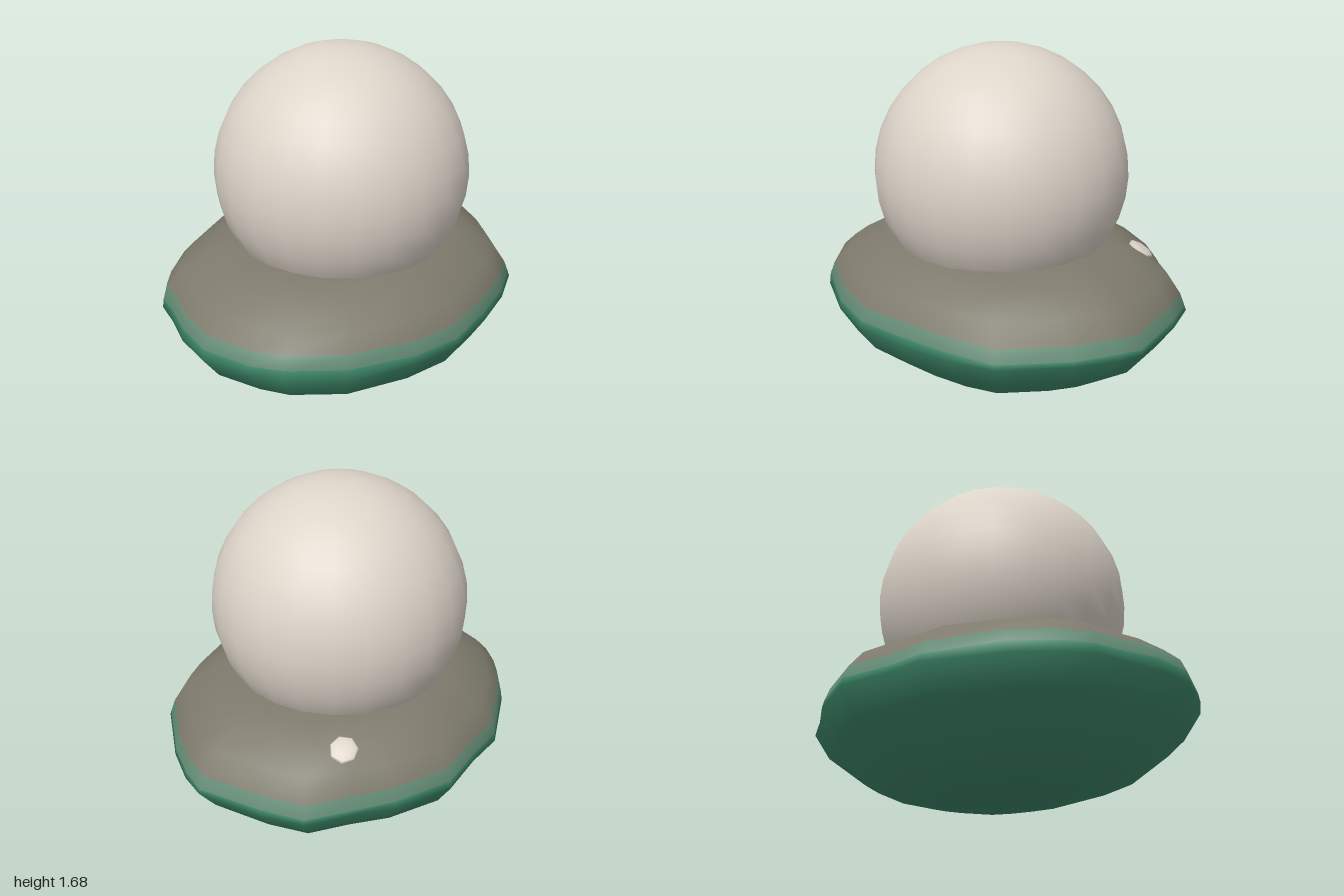
import * as THREE from 'three';

const paint = (name, color) => {
  const m = new THREE.MeshStandardMaterial({ color });
  m.name = name;
  return m;
};

// Uneven outline of the base at its widest level, as [x, z]
const OUTLINE = [
  [1.0, 0.15], [0.95, 0.28], [0.84, 0.45], [0.6, 0.71], [0.38, 0.79], [0.12, 0.835],
  [-0.15, 0.85], [-0.4, 0.78], [-0.7, 0.62], [-0.89, 0.4], [-0.95, 0.25], [-1.0, 0],
  [-0.95, -0.2], [-0.87, -0.36], [-0.81, -0.51], [-0.7, -0.61], [-0.5, -0.73], [-0.15, -0.85],
  [0.05, -0.83], [0.31, -0.83], [0.57, -0.68], [0.73, -0.53], [0.9, -0.39], [0.96, -0.18],
];

// Levels of the base from the underside up, as [scale of outline, height]
const LEVELS = [
  [0, 0.01], [0.25, 0.005], [0.45, 0.035], [0.7, 0.11], [0.91, 0.26], [1, 0.39],
  [0.992, 0.43], [0.965, 0.495], [0.89, 0.58], [0.76, 0.65], [0.64, 0.7], [0.4, 0.72], [0, 0.72],
];
const BAND = 6; // level where the pale band starts

function baseGeometry() {
  const n = OUTLINE.length, pos = [], index = [];
  LEVELS.forEach(([s, y], j) => {
    OUTLINE.forEach(([x, z], i) => {
      // the colour edges wander a little around the rim
      const wave = j === BAND || j === BAND + 1 ? -0.018 * x + 0.007 * Math.sin(i * 1.7) : 0;
      pos.push(x * s, y + wave, z * s);
    });
  });
  const g = new THREE.BufferGeometry();
  for (let j = 0; j < LEVELS.length - 1; j++) {
    const start = index.length;
    for (let i = 0; i < n; i++) {
      const k = (i + 1) % n;
      const a = j * n + i, b = j * n + k, c = a + n, d = b + n;
      if (j > 0) index.push(a, c, b);
      if (j < LEVELS.length - 2) index.push(b, c, d);
      else continue;
    }
    g.addGroup(start, index.length - start, j < BAND ? 0 : j === BAND ? 1 : 2);
  }
  g.setAttribute('position', new THREE.Float32BufferAttribute(pos, 3));
  g.setIndex(index);
  g.computeVertexNormals();
  return g;
}

export function createModel() {
  const model = new THREE.Group();
  const ivory = paint('ivory', 0xddd4c9);
  const green = paint('green', 0x3f8a6b);
  const paleGreen = paint('pale green', 0x638a74);
  const stone = paint('stone grey', 0x7e7b6d);

  const add = (name, geometry, material) => {
    const mesh = new THREE.Mesh(geometry, material);
    mesh.name = name;
    model.add(mesh);
    return mesh;
  };

  // Cushion-shaped base: green below, pale band, stone top
  add('base', baseGeometry(), [green, paleGreen, stone]);

  // Large ball resting in the base
  add('ball', new THREE.SphereGeometry(0.65, 24, 18), ivory).position.set(0.003, 1.04, 0.01);

  // Small pale pebble half sunk in the top of the base
  const pebble = add('pebble', new THREE.SphereGeometry(0.072, 7, 6), ivory);
  pebble.scale.y = 0.25;
  pebble.position.set(0.6, 0.635, -0.41);
  pebble.quaternion.setFromUnitVectors(
    new THREE.Vector3(0, 1, 0), new THREE.Vector3(0.4, 0.86, -0.28).normalize());

  return model;
}
